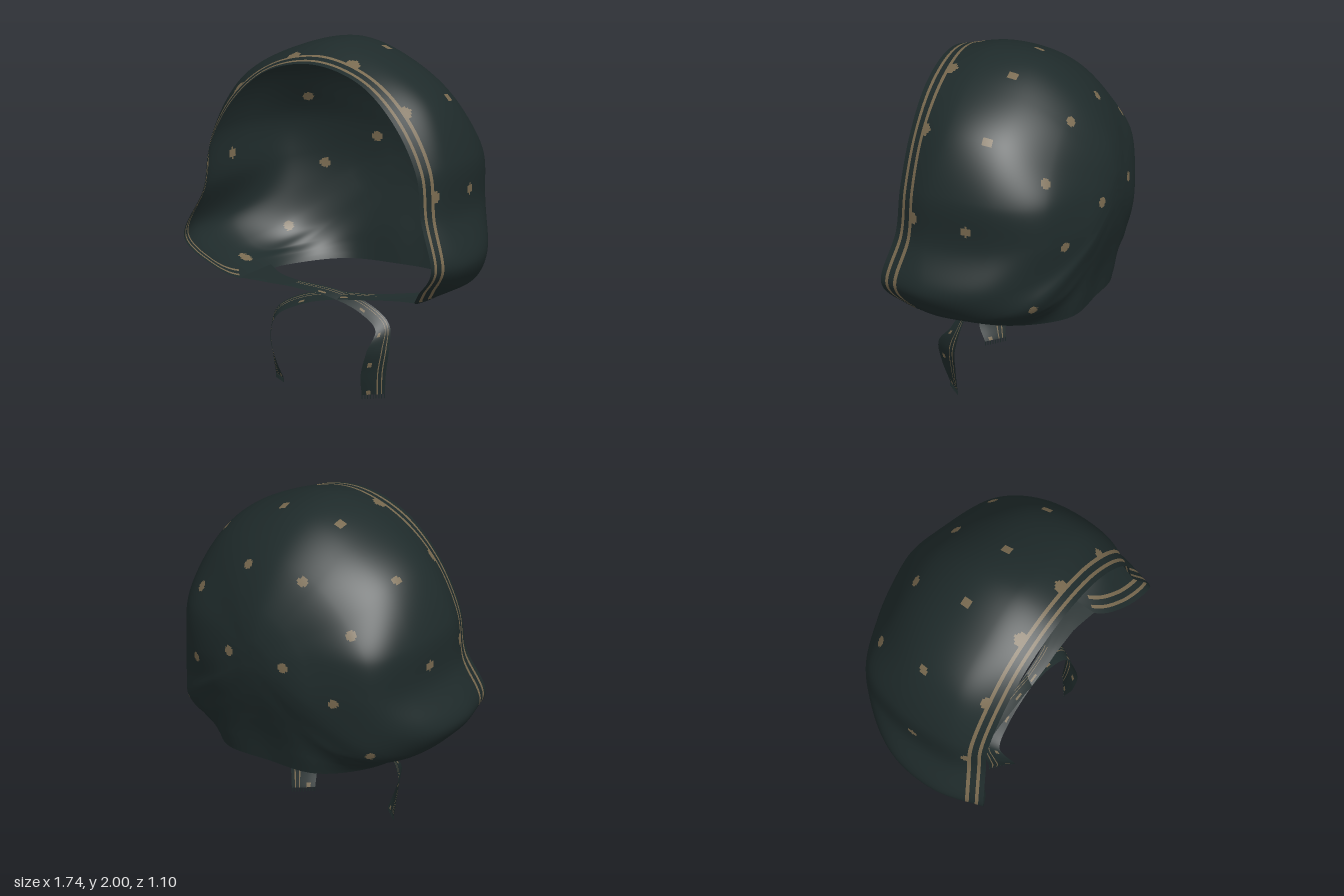
import * as THREE from 'three';

const fabric = new THREE.MeshStandardMaterial({ color: 0x1f2b2b, side: THREE.DoubleSide });
fabric.name = 'dark fabric';
const trim = new THREE.MeshStandardMaterial({ color: 0x78694f, side: THREE.DoubleSide });
trim.name = 'tan print';
const materials = [fabric, trim];

const V = (p) => new THREE.Vector3(...p);
const POLE = [0, 1.27, -0.55];

// Half meridians running from the back of the head to the rim, ordered crown to nape
const UPPER = [
  [[0, 1.55, -0.49], [0, 1.8, -0.32], [0, 1.965, -0.07], [0, 1.997, 0.2], [0, 1.925, 0.49]],
  [[0.13, 1.5, -0.49], [0.26, 1.72, -0.32], [0.31, 1.865, -0.09], [0.33, 1.905, 0.21], [0.3, 1.85, 0.49]],
  [[0.22, 1.42, -0.49], [0.47, 1.55, -0.33], [0.585, 1.68, -0.08], [0.6, 1.715, 0.23], [0.52, 1.65, 0.49]],
  [[0.3, 1.32, -0.495], [0.62, 1.35, -0.35], [0.74, 1.38, -0.1], [0.745, 1.4, 0.28], [0.67, 1.37, 0.49]],
  [[0.33, 1.18, -0.505], [0.64, 1.12, -0.35], [0.75, 1.1, -0.11], [0.765, 1.1, 0.3], [0.705, 1.12, 0.5]],
  [[0.33, 1.07, -0.505], [0.63, 0.92, -0.335], [0.82, 0.84, -0.06], [0.86, 0.83, 0.26], [0.8, 0.84, 0.55]],
];
const LOWER = [
  [[0.32, 1.01, -0.5], [0.62, 0.78, -0.32], [0.75, 0.7, -0.06], [0.77, 0.69, 0.25], [0.67, 0.68, 0.47]],
  [[0.29, 0.97, -0.495], [0.57, 0.72, -0.32], [0.67, 0.645, -0.09], [0.68, 0.63, 0.14], [0.57, 0.585, 0.33]],
  [[0.23, 0.95, -0.495], [0.42, 0.75, -0.4], [0.5, 0.66, -0.3], [0.53, 0.615, -0.2], [0.53, 0.57, -0.09]],
  [[0.11, 1.0, -0.515], [0.21, 0.83, -0.465], [0.265, 0.72, -0.43], [0.295, 0.64, -0.405], [0.31, 0.575, -0.38]],
  [[0, 1.05, -0.528], [0, 0.87, -0.48], [0, 0.76, -0.447], [0, 0.665, -0.425], [0, 0.58, -0.41]],
];

// The cloth is pulled to one side: width factors for each ring from back to rim
const LEFT_PULL = [0.93, 0.94, 0.98, 1, 1];
const RIGHT_PULL = [1.03, 1.03, 1.02, 1.02, 1];

// Printed dots on one half (x, y, z, radius); each snaps to the nearest spot of the cloth
const DOTS = [
  [0.2, 1.95, 0, 0.029], [0.58, 1.7, 0, 0.029], [0.77, 1.21, 0.05, 0.03], [0.2, 1.74, -0.36, 0.029],
  [0.53, 1.49, -0.35, 0.029], [0.19, 1.26, -0.54, 0.03], [0.47, 1.09, -0.42, 0.029], [0.6, 0.76, -0.27, 0.029],
  [0.68, 0.64, 0.08, 0.038], [0.19, 1.93, 0.375, 0.035], [0.53, 1.69, 0.375, 0.035], [0.74, 1.23, 0.39, 0.035],
];

// Builds a mesh from quads, sorted into one group per material
function paintedMesh(name, positions, quads, paint) {
  const lists = [[], []];
  quads.forEach(([a, b, c, d], q) => {
    const list = lists[paint(q)];
    if (a !== d) list.push(a, b, d);
    list.push(b, c, d);
  });
  const geo = new THREE.BufferGeometry();
  geo.setAttribute('position', new THREE.Float32BufferAttribute(positions.flatMap((p) => [p.x, p.y, p.z]), 3));
  geo.setIndex([...lists[0], ...lists[1]]);
  geo.addGroup(0, lists[0].length, 0);
  geo.addGroup(lists[0].length, lists[1].length, 1);
  geo.computeVertexNormals();
  const mesh = new THREE.Mesh(geo, materials);
  mesh.name = name;
  return mesh;
}

function makeHood() {
  const side = (s, pull) => [
    ...UPPER.map((m) => m.map(([x, y, z], k) => [s * x * pull[k], y, z])),
    ...LOWER.map((m) => m.map(([x, y, z]) => [s * x, y, z])),
  ];
  const all = [...side(1, LEFT_PULL), ...side(-1, RIGHT_PULL).slice(1, -1).reverse()];
  const rings = [0, 1, 2, 3, 4].map((k) => new THREE.CatmullRomCurve3(all.map((m) => V(m[k])), true));

  // Rows are measured back from the rim, so the border stripes keep an even width
  const border = [0.107, 0.085, 0.05, 0.03, 0];
  const N = 420, INNER = 120, ROWS = INNER + border.length - 1;
  const pole = V(POLE);
  const positions = [pole];
  for (let i = 0; i < N; i++) {
    const pts = rings.map((r) => r.getPoint(i / N));
    const d = pts[0].clone().sub(pole);
    const round = pole.clone().add(new THREE.Vector3(d.x * 0.38, d.y * 0.38, d.z * 0.13));
    const curve = new THREE.CatmullRomCurve3([pole, round, ...pts]);
    const len = curve.getLength();
    for (let r = 1; r <= ROWS; r++) {
      const dist = r <= INNER ? len - (len - border[0]) * (r / INNER) : border[r - INNER];
      positions.push(curve.getPointAt(1 - dist / len));
    }
  }
  const id = (i, r) => (r === 0 ? 0 : 1 + (i % N) * ROWS + r - 1);
  const quads = [], centres = [], striped = [];
  for (let i = 0; i < N; i++) {
    const m = ((i + 0.5) / N) * all.length;
    const front = Math.min(m, all.length - m) < 7;
    for (let r = 0; r < ROWS; r++) {
      const q = [id(i, r), id(i, r + 1), id(i + 1, r + 1), id(i + 1, r)];
      quads.push(q);
      centres.push(q.reduce((s, k) => s.add(positions[k]), new THREE.Vector3()).multiplyScalar(0.25));
      striped.push(front && (r === INNER || r === INNER + 2));
    }
  }
  const dots = [];
  for (const [x, y, z, radius] of DOTS) {
    for (const s of [1, -1]) {
      const p = V([s * x, y, z]);
      const centre = centres.reduce((a, b) => (b.distanceToSquared(p) < a.distanceToSquared(p) ? b : a));
      dots.push({ centre, radius });
    }
  }
  return paintedMesh('hood', positions, quads, (q) =>
    striped[q] || dots.some((d) => d.centre.distanceTo(centres[q]) < d.radius) ? 1 : 0);
}

// Tie: a tapering flap from one hem corner, crossing under the chin and hanging on the other side
function makeTie(name, s, endY, drop, out) {
  const flip = ([x, y, z]) => V([s * x, y, z]);
  const path = new THREE.CatmullRomCurve3([
    [-0.57, 0.588, 0.16], [-0.42, 0.578, 0.21], [-0.24, 0.575 - drop, 0.25], [0, 0.555 - drop, 0.26],
    [0.2, 0.5, 0.27], [0.33 + out, 0.41, 0.29], [0.335 + out, 0.29, 0.345], [0.305 + out, 0.15, 0.345],
    [0.29 + out, endY, 0.32],
  ].map(flip));
  const width = new THREE.CatmullRomCurve3([
    [0, 0, -0.17], [0, 0.005, -0.085], [0, 0.01, -0.04], [0, 0.018, -0.03], [0.005, 0.025, -0.03],
    [0.02, 0.015, -0.04], [0.036, 0, -0.065], [0.047, 0, -0.06], [0.05, 0, -0.042],
  ].map(flip));
  const cols = [-1, -0.6, -0.25, 0.3, 0.39, 0.65, 0.74, 1], ROWS = 80, C = cols.length;
  const positions = [], quads = [];
  for (let r = 0; r <= ROWS; r++) {
    const p = path.getPoint(r / ROWS), w = width.getPoint(r / ROWS);
    for (const c of cols) positions.push(p.clone().addScaledVector(w, c));
  }
  for (let r = 0; r < ROWS; r++) {
    for (let c = 0; c < C - 1; c++) {
      const a = r * C + c;
      quads.push([a, a + C, a + C + 1, a + 1]);
    }
  }
  const group = new THREE.Group();
  group.name = name;
  group.add(paintedMesh(name + 'Ribbon', positions, quads, (q) => {
    const c = q % (C - 1), r = Math.floor(q / (C - 1));
    return r > 18 && (c === 3 || c === 5 || (c === 1 && r % 13 < 2)) ? 1 : 0;
  }));

  // Fringe threads on the loose end
  const thread = new THREE.BoxGeometry(0.004, 0.024, 0.004);
  for (let k = 0; k < 9; k++) {
    const mesh = new THREE.Mesh(thread, fabric);
    mesh.name = 'fringeThread';
    mesh.position.copy(path.getPoint(1)).addScaledVector(width.getPoint(1), -0.96 + k * 0.24);
    mesh.position.y -= 0.012;
    group.add(mesh);
  }
  return group;
}

export function createModel() {
  const model = new THREE.Group();
  model.name = 'headscarf';
  model.add(makeHood(), makeTie('leftTie', 1, 0.024, 0, 0), makeTie('rightTie', -1, 0.055, 0.012, 0.025));
  return model;
}
